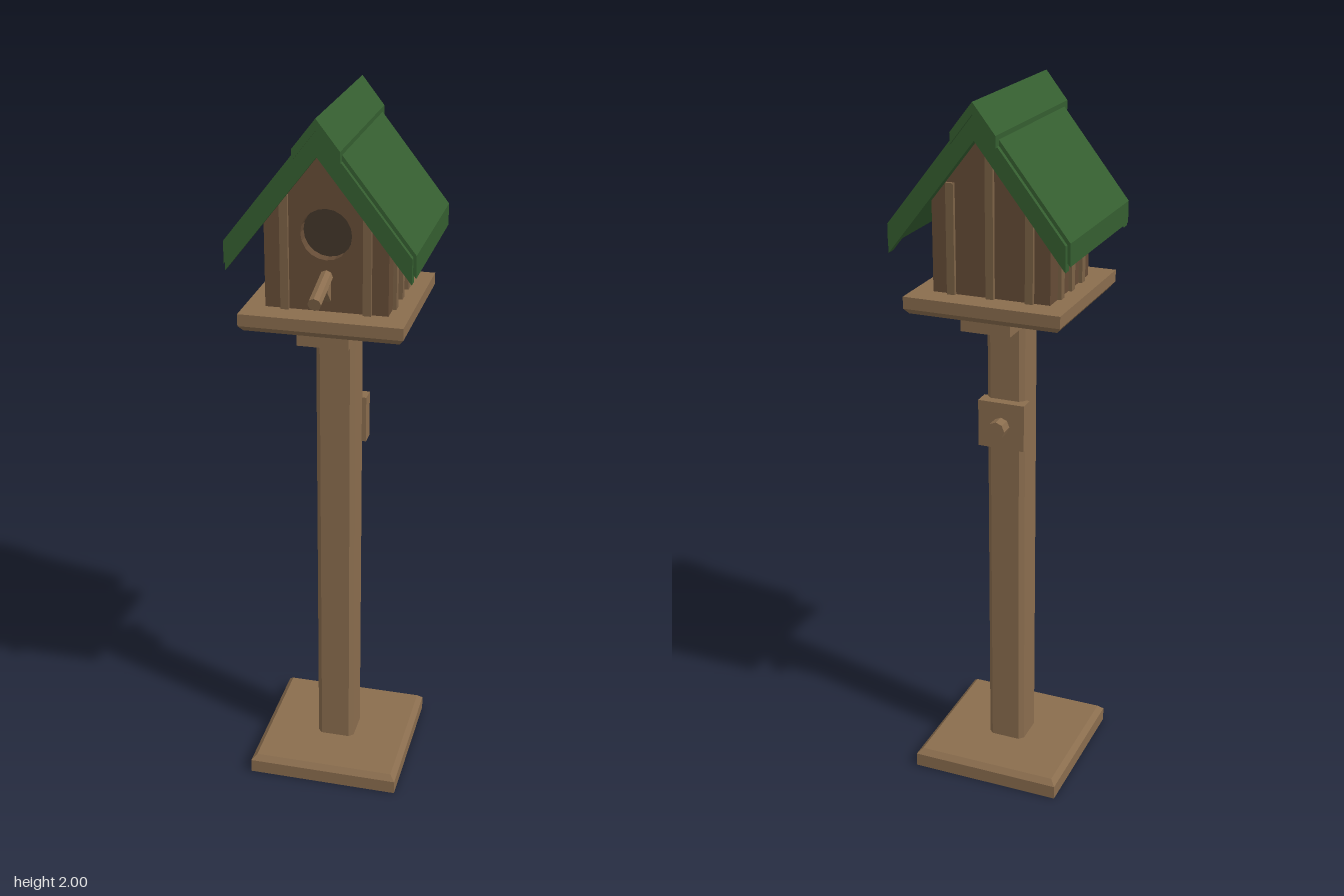
import * as THREE from 'three';

const mat = (name, color) => Object.assign(new THREE.MeshStandardMaterial({ color }), { name });

export function createModel() {
  const wood = mat('wood', 0x8a6d4e);
  const wall = mat('wallWood', 0x654c36);
  const batten = mat('battenWood', 0x7c6246);
  const green = mat('roofGreen', 0x355e30);
  const dark = mat('holeDark', 0x43362a);
  const group = new THREE.Group();
  group.name = 'birdhouse';
  const CZ = -0.01; // depth centre of post and house

  const add = (name, geo, material, x = 0, y = 0, z = 0) => {
    const flat = geo.index ? geo.toNonIndexed() : geo;
    flat.computeVertexNormals();
    const m = new THREE.Mesh(flat, material);
    m.name = name;
    m.position.set(x, y, z);
    group.add(m);
    return m;
  };
  const box = (name, material, w, h, d, x, y, z) =>
    add(name, new THREE.BoxGeometry(w, h, d), material, x, y, z);
  const shapeOf = pts => new THREE.Shape(pts.map(p => new THREE.Vector2(...p)));
  const extrude = (shape, depth) =>
    new THREE.ExtrudeGeometry(shape, { depth, bevelEnabled: false, curveSegments: 10 });

  // Square plate built from a profile of [half width, y]
  const plate = (name, profile) => {
    const pts = profile.map(([r, y]) => new THREE.Vector2(r * Math.SQRT2, y));
    add(name, new THREE.LatheGeometry(pts, 4).rotateY(Math.PI / 4), wood, 0, 0, CZ);
  };
  plate('base', [[0, 0], [0.22, 0], [0.22, 0.04], [0.205, 0.055], [0, 0.055]]);
  plate('platform', [[0, 1.425], [0.208, 1.425], [0.22, 1.44], [0.22, 1.473], [0, 1.473]]);

  // Post with chamfered corners
  const a = 0.055, c = 0.042;
  const post = shapeOf([[a, -c], [a, c], [c, a], [-c, a], [-a, c], [-a, -c], [-c, -a], [c, -a]]);
  add('post', extrude(post, 1.345).rotateX(-Math.PI / 2), wood, 0, 0.05, CZ);
  box('supportBeam', wood, 0.14, 0.04, 0.375, 0, 1.407, CZ);

  // Block and peg behind the post
  box('backBlock', wood, 0.135, 0.135, 0.045, 0, 1.087, -0.07);
  add('backPeg', new THREE.CylinderGeometry(0.025, 0.025, 0.05, 8).rotateX(Math.PI / 2),
    wood, 0, 1.087, -0.105);

  // House body, with the entrance cut through a separate front wall
  const outline = () => shapeOf([[-0.165, 1.47], [0.165, 1.47], [0.165, 1.722], [0, 1.93], [-0.165, 1.722]]);
  add('houseBody', extrude(outline(), 0.257), wall, 0, 0, -0.157);
  const front = outline();
  front.holes.push(new THREE.Path().absarc(0, 1.68, 0.068, 0, Math.PI * 2, true));
  add('frontWall', extrude(front, 0.035), wall, 0, 0, 0.1);
  add('entranceHole', new THREE.CircleGeometry(0.07, 24), dark, 0, 1.68, 0.103);

  // Battens on all four walls
  const strip = (name, w, d, x, top, z) =>
    box(name, batten, w, top - 1.47, d, x, (top + 1.47) / 2, z);
  for (const s of [-1, 1]) {
    strip('frontBatten', 0.022, 0.014, s * 0.11, 1.78, 0.139);
    for (const z of [0.07, CZ, -0.09]) strip('sideBatten', 0.014, 0.024, s * 0.168, 1.71, z);
  }
  for (const x of [-0.11, 0, 0.11])
    strip('backBatten', 0.022, 0.014, x, 1.91 - Math.abs(x) * 1.27, -0.161);

  // Roof layers: inverted V sections with upright eave ends
  const S = 1.27;
  const chevron = (name, w, top, t, z0, z1) => {
    const e = top - S * w;
    const shape = shapeOf([[0, top], [-w, e], [-w, e - t], [0, top - t], [w, e - t], [w, e]]);
    add(name, extrude(shape, z1 - z0), green, 0, 0, z0);
  };
  chevron('roofPanels', 0.25, 1.987, 0.06, -0.245, 0.213);
  chevron('frontBargeBoards', 0.242, 1.972, 0.068, 0.2, 0.227);
  chevron('backBargeBoards', 0.242, 1.972, 0.068, -0.258, -0.232);
  chevron('ridgeCap', 0.061, 2.0, 0.03, -0.267, 0.235);

  // Perch, sloping down to the front, with its bracket
  const perch = add('perch', new THREE.CylinderGeometry(0.018, 0.018, 0.14, 8).rotateX(Math.PI / 2),
    wood, 0, 1.553, 0.191);
  perch.rotation.x = 0.25;
  const bracket = shapeOf([[0.13, 1.495], [0.13, 1.56], [0.178, 1.553], [0.172, 1.535]]);
  add('perchBracket', extrude(bracket, 0.026).rotateY(-Math.PI / 2), wood, 0.013, 0, 0);

  return group;
}
